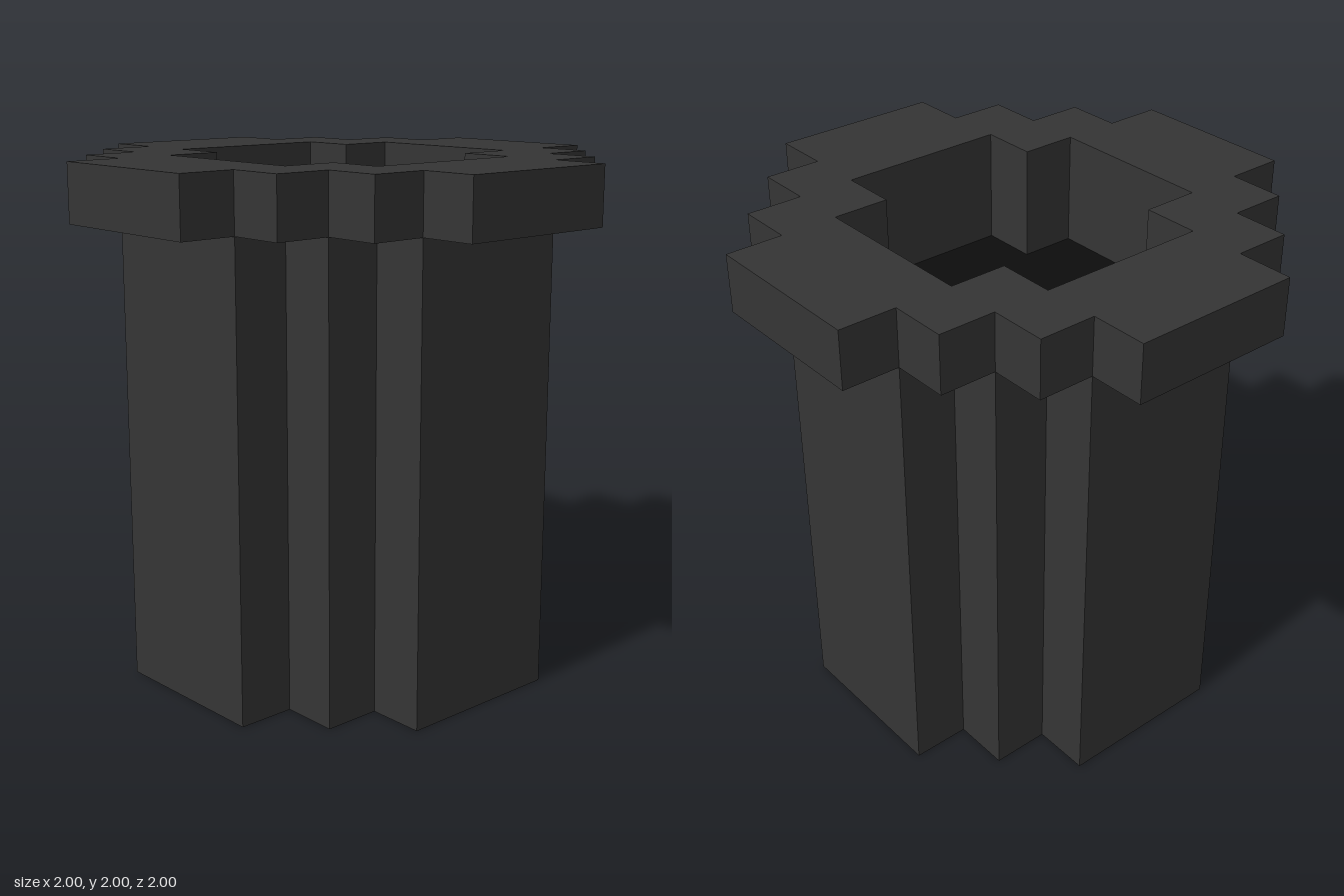
import * as THREE from 'three';

const U = 2 / 9; // one block

// Stepped plus-like outline; steps = half sizes [x, z] in blocks, from the widest x to the narrowest
function outline(steps) {
  const quarter = [];
  steps.forEach(([x, z], i) => {
    if (i > 0) quarter.push([x, steps[i - 1][1]]);
    quarter.push([x, z]);
  });
  const flipped = [...quarter].reverse();
  const points = [
    ...quarter,
    ...flipped.map(([x, z]) => [-x, z]),
    ...quarter.map(([x, z]) => [-x, -z]),
    ...flipped.map(([x, z]) => [x, -z]),
  ];
  return points.map(([x, z]) => new THREE.Vector2(x * U, z * U));
}

const RIM = [[4.5, 1.5], [3.5, 2.5], [2.5, 3.5], [1.5, 4.5]];
const BODY = [[3.5, 1.5], [2.5, 2.5], [1.5, 3.5]];
const HOLE = [[2.5, 1.5], [1.5, 2.5]];

export function createModel() {
  const group = new THREE.Group();
  const charcoal = new THREE.MeshStandardMaterial({ color: 0x353535 });
  charcoal.name = 'charcoal';
  const black = new THREE.MeshStandardMaterial({ color: 0x0d0d0d });
  black.name = 'black';

  // Upright prism between two heights in blocks, optionally hollow
  function prism(name, steps, y0, y1, material, hollow = false) {
    const shape = new THREE.Shape(outline(steps));
    if (hollow) shape.holes.push(new THREE.Path(outline(HOLE)));
    const geometry = new THREE.ExtrudeGeometry(shape, { depth: (y1 - y0) * U, bevelEnabled: false });
    geometry.rotateX(-Math.PI / 2);
    geometry.translate(0, y0 * U, 0);
    const mesh = new THREE.Mesh(geometry, material);
    mesh.name = name;
    group.add(mesh);
  }

  prism('body', BODY, 0, 7, charcoal);
  prism('collar', BODY, 7, 8, charcoal, true);
  prism('rim', RIM, 8, 9, charcoal, true);
  // Dark floor of the opening
  prism('openingFloor', HOLE, 7, 7.02, black);

  return group;
}
